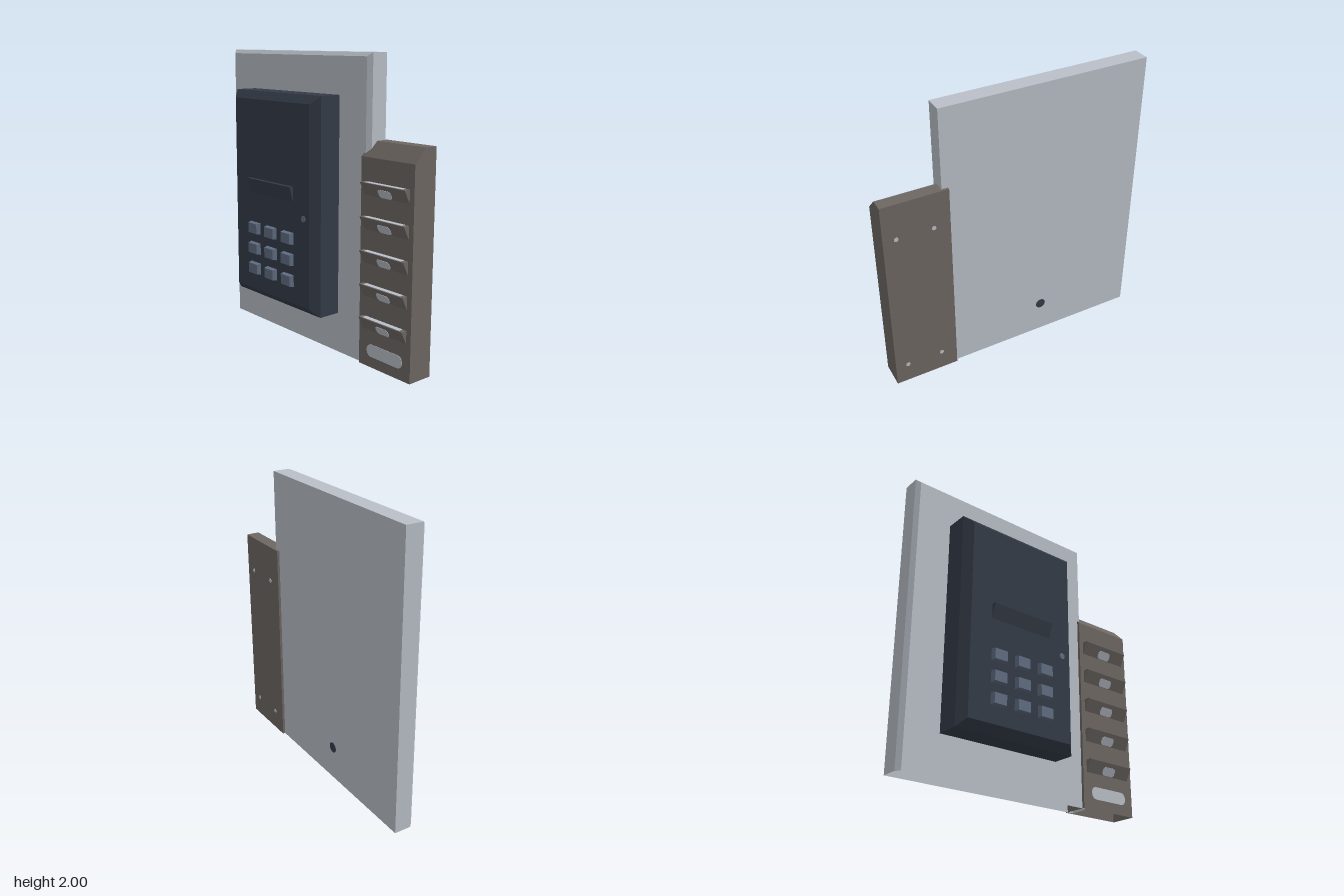
import * as THREE from 'three';

const mat = (name, color, side = THREE.FrontSide) => {
  const m = new THREE.MeshStandardMaterial({ color, side });
  m.name = name;
  return m;
};

// Rectangular sections [z, x0, x1, y0, y1] joined from back to front with flat faces
function loft(sections, openBottom = false) {
  const rings = sections.map(([z, x0, x1, y0, y1]) =>
    [[x0, y0, z], [x1, y0, z], [x1, y1, z], [x0, y1, z]]);
  const pos = [];
  const quad = (a, b, c, d) => pos.push(...a, ...b, ...c, ...a, ...c, ...d);
  for (let k = 0; k < rings.length - 1; k++) {
    for (let i = openBottom ? 1 : 0; i < 4; i++) {
      const j = (i + 1) % 4;
      quad(rings[k][i], rings[k][j], rings[k + 1][j], rings[k + 1][i]);
    }
  }
  const back = rings[0], front = rings[rings.length - 1];
  quad(back[3], back[2], back[1], back[0]);
  quad(...front);
  const g = new THREE.BufferGeometry();
  g.setAttribute('position', new THREE.Float32BufferAttribute(pos, 3));
  g.computeVertexNormals();
  return g;
}

// Thin plate with rounded ends, centred on the origin
function roundedPlate(w, h, r, depth = 0.006) {
  const s = new THREE.Shape();
  const x = w / 2, y = h / 2;
  s.moveTo(-x + r, -y);
  s.lineTo(x - r, -y);
  s.absarc(x - r, -y + r, r, -Math.PI / 2, 0);
  s.absarc(x - r, y - r, r, 0, Math.PI / 2);
  s.absarc(-x + r, y - r, r, Math.PI / 2, Math.PI);
  s.absarc(-x + r, -y + r, r, Math.PI, Math.PI * 1.5);
  const g = new THREE.ExtrudeGeometry(s, { depth, bevelEnabled: false, curveSegments: 6 });
  return g.translate(0, 0, -depth / 2);
}

export function createModel() {
  const model = new THREE.Group();
  model.name = 'wallKeypad';

  const lightMetal = mat('lightMetal', 0xb9bfc8, THREE.DoubleSide);
  const brownMetal = mat('brownMetal', 0x6e6763, THREE.DoubleSide);
  const navy = mat('darkNavy', 0x343b48);
  const blueGrey = mat('blueGrey', 0x606d82);

  const add = (name, geometry, material, x = 0, y = 0, z = 0, parent = model) => {
    const m = new THREE.Mesh(geometry, material);
    m.name = name;
    m.position.set(x, y, z);
    parent.add(m);
    return m;
  };
  const disc = (r, n = 20) => new THREE.CylinderGeometry(r, r, 0.006, n).rotateX(Math.PI / 2);

  // Mounting plate: hollow shell, open underneath
  add('mountingPlate', loft([
    [-0.183, -0.93, 0.52, 0, 2],
    [-0.065, -0.93, 0.52, 0, 2],
    [-0.038, -0.903, 0.493, 0, 1.975],
  ], true), lightMetal);
  add('cableHole', disc(0.036), navy, -0.205, 0.24, -0.183);

  // Keypad housing with bevelled front
  add('keypadHousing', loft([
    [-0.04, -0.66, 0.247, 0.273, 1.73],
    [0.117, -0.66, 0.247, 0.273, 1.73],
    [0.17, -0.607, 0.194, 0.327, 1.677],
  ]), navy);

  // Display hood leaning outwards at the top
  add('displayHood', loft([
    [0.168, -0.445, 0.027, 1.02, 1.13],
    [0.198, -0.445, 0.027, 1.127, 1.13],
  ]), navy);

  // Status lamp
  add('statusLamp', disc(0.021), blueGrey, 0.135, 0.93, 0.171);

  // Three by three tapered buttons
  const button = loft([
    [0, -0.055, 0.055, -0.041, 0.041],
    [0.032, -0.047, 0.047, -0.035, 0.035],
  ]);
  const buttons = new THREE.Group();
  buttons.name = 'buttons';
  model.add(buttons);
  for (let r = 0; r < 3; r++) {
    for (let c = 0; c < 3; c++) {
      add('button', button, blueGrey, -0.39 + c * 0.184, 0.778 - r * 0.146, 0.169, buttons);
    }
  }

  // Side box: hollow shell with sloping shoulder, open underneath
  add('sideBox', loft([
    [-0.2, 0.477, 0.927, 0, 1.457],
    [-0.11, 0.477, 0.927, 0, 1.457],
    [-0.019, 0.477, 0.927, 0, 1.365],
  ], true), brownMetal);

  // Louvres with a bright upper opening and a small bright slot
  const hood = loft([
    [0, -0.19, 0.19, -0.086, 0],
    [0.042, -0.19, 0.19, -0.004, 0],
  ]);
  const topOpening = new THREE.BoxGeometry(0.32, 0.004, 0.034);
  const smallSlot = roundedPlate(0.11, 0.06, 0.022, 0.005);
  for (let i = 0; i < 5; i++) {
    const louvre = new THREE.Group();
    louvre.name = 'louvre';
    louvre.position.set(0.7, 1.212 - i * 0.219, -0.019);
    model.add(louvre);
    add('louvreHood', hood, brownMetal, 0, 0, 0, louvre);
    add('louvreOpening', topOpening, lightMetal, 0, 0, 0.018, louvre);
    const slot = add('louvreSlot', smallSlot, lightMetal, 0, -0.057, 0.015, louvre);
    slot.rotation.x = Math.atan2(0.042, 0.082);
  }

  // Long slot below the louvres
  add('lowerSlot', roundedPlate(0.31, 0.085, 0.04), lightMetal, 0.705, 0.115, -0.019);

  // Screw holes in the back of the side box
  for (const x of [0.59, 0.84]) {
    for (const y of [0.145, 1.205]) add('screwHole', disc(0.015, 12), lightMetal, x, y, -0.2);
  }

  return model;
}
